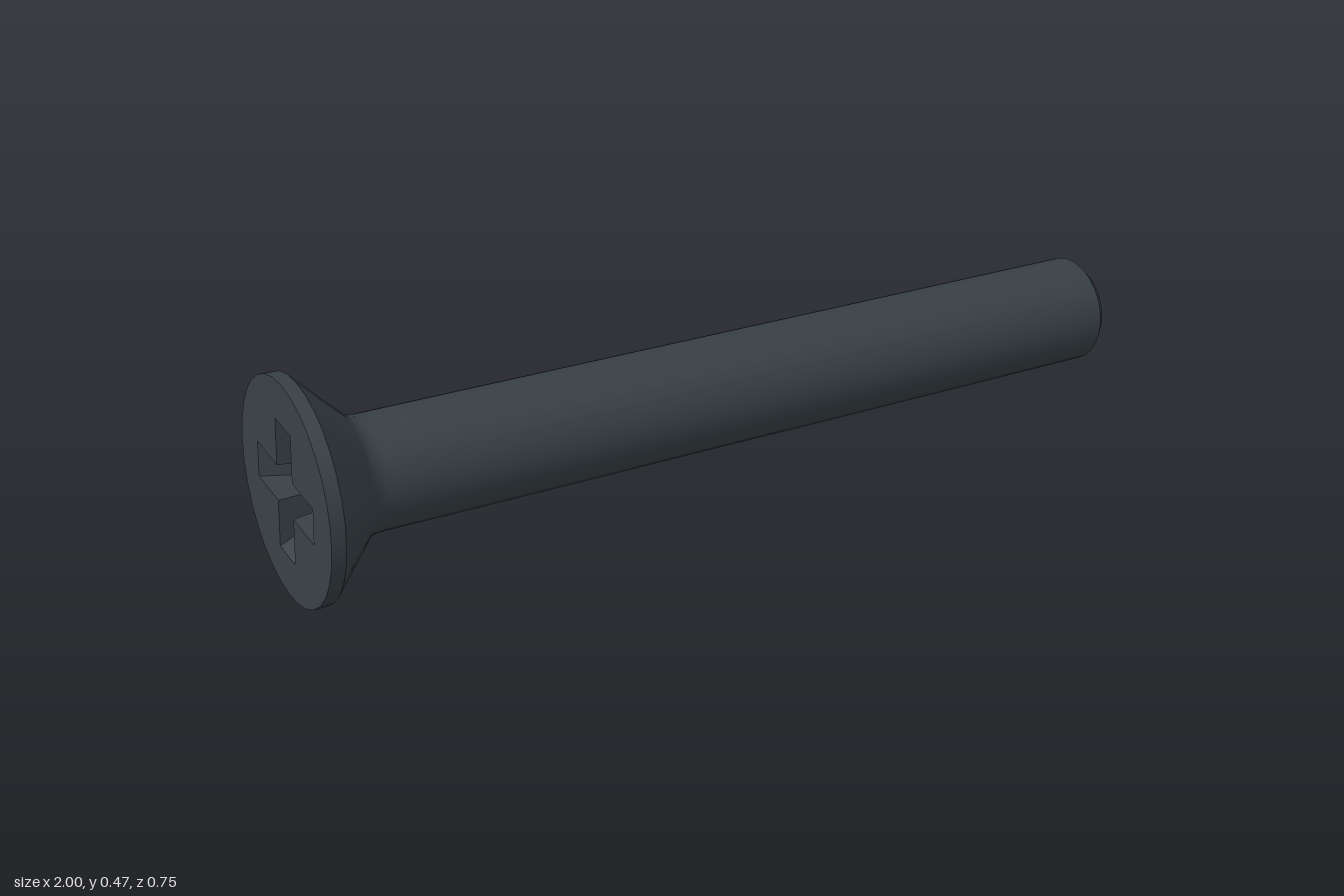
import * as THREE from 'three';

const SIDES = 32;
const HEAD_R = 0.236, SHAFT_R = 0.1205, TIP_R = 0.0975;
const RIM = 0.03, LENGTH = 1.974, CHAMFER = 0.024;

// Cross outline: half arm length a, half arm width w
function crossLoop(a, w) {
  const pts = [];
  for (let i = 0; i < 4; i++) {
    const t = i * Math.PI / 2;
    for (const [x, y] of [[a, -w], [a, w], [w, w]]) {
      pts.push(new THREE.Vector2(x * Math.cos(t) - y * Math.sin(t), x * Math.sin(t) + y * Math.cos(t)));
    }
  }
  return pts;
}

export function createModel() {
  const steel = new THREE.MeshStandardMaterial({ color: 0x384046 });
  steel.name = 'darkSteel';
  const screw = new THREE.Group();
  screw.name = 'countersunkScrew';

  const add = (name, geometry) => {
    const mesh = new THREE.Mesh(geometry, steel);
    mesh.name = name;
    screw.add(mesh);
  };
  const turned = (name, profile) =>
    add(name, new THREE.LatheGeometry(profile.map(([r, y]) => new THREE.Vector2(r, y)), SIDES));

  // Local +y runs from the head face to the tip
  turned('headRim', [[HEAD_R, 0], [HEAD_R, RIM]]);
  turned('headCone', [[HEAD_R, RIM], [0.185, 0.081], [0.136, 0.13], [0.124, 0.145], [SHAFT_R, 0.165], [SHAFT_R, 0.19]]);
  turned('shaft', [[SHAFT_R, 0.19], [SHAFT_R, LENGTH - CHAMFER]]);
  turned('tipChamfer', [[SHAFT_R, LENGTH - CHAMFER], [TIP_R, LENGTH]]);
  add('tipFace', new THREE.CircleGeometry(TIP_R, SIDES).rotateX(-Math.PI / 2).translate(0, LENGTH, 0));

  // Head face with a cross-shaped opening
  const depth = 0.13;
  const mouth = crossLoop(0.145, 0.04), floor = crossLoop(0.075, 0.03);
  const disc = [];
  for (let i = 0; i < SIDES; i++) {
    const t = i / SIDES * Math.PI * 2;
    disc.push(new THREE.Vector2(HEAD_R * Math.cos(t), HEAD_R * Math.sin(t)));
  }
  const face = new THREE.Shape(disc);
  face.holes.push(new THREE.Path(mouth));
  add('headFace', new THREE.ShapeGeometry(face).rotateX(Math.PI / 2));

  // Tapered recess walls and floor
  const pos = [];
  mouth.forEach((m, i) => {
    const j = (i + 1) % mouth.length;
    const a0 = [m.x, 0, m.y], a1 = [mouth[j].x, 0, mouth[j].y];
    const b0 = [floor[i].x, depth, floor[i].y], b1 = [floor[j].x, depth, floor[j].y];
    pos.push(...a0, ...a1, ...b0, ...a1, ...b1, ...b0);
  });
  const walls = new THREE.BufferGeometry();
  walls.setAttribute('position', new THREE.Float32BufferAttribute(pos, 3));
  walls.computeVertexNormals();
  add('recessWalls', walls);
  add('recessFloor', new THREE.ShapeGeometry(new THREE.Shape(floor)).rotateX(Math.PI / 2).translate(0, depth, 0));

  // Lay the screw down, resting on head rim and tip
  const axis = new THREE.Vector3(1, -0.058, 0.213).normalize();
  const side = new THREE.Vector3(-axis.z, 0, axis.x).normalize();
  const up = new THREE.Vector3().crossVectors(axis, side);
  screw.quaternion.setFromRotationMatrix(new THREE.Matrix4().makeBasis(up, axis, side));
  screw.position.set(-0.949, 0.2355, -0.146);

  const model = new THREE.Group();
  model.name = 'screwModel';
  model.add(screw);
  return model;
}
